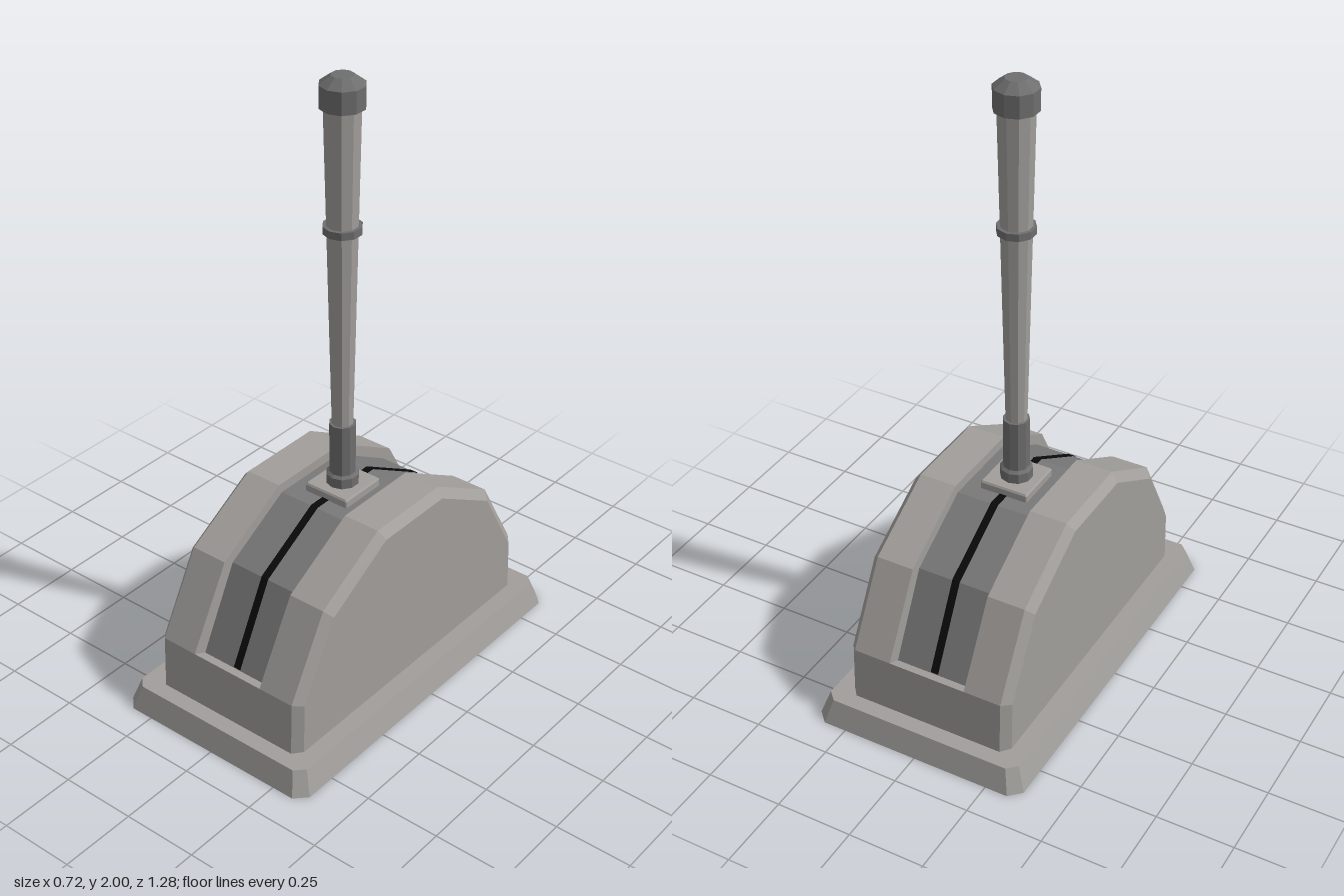
import * as THREE from 'three';

const mat = (name, color, side = THREE.FrontSide) => {
  const m = new THREE.MeshStandardMaterial({ color });
  m.name = name;
  m.side = side;
  return m;
};

// Faceted geometry from a flat list of triangle corners
function faceted(corners) {
  const g = new THREE.BufferGeometry();
  g.setAttribute('position', new THREE.Float32BufferAttribute(corners.flat(), 3));
  g.computeVertexNormals();
  return g;
}

// Joins matching loops into a solid; the first end can be left open
function loft(sections, openStart = false) {
  const out = [];
  const n = sections[0].length;
  for (let i = 0; i < sections.length - 1; i++) {
    for (let j = 0; j < n; j++) {
      const k = (j + 1) % n;
      const [a, b, c, d] = [sections[i][j], sections[i + 1][j], sections[i + 1][k], sections[i][k]];
      out.push(a, b, c, a, c, d);
    }
  }
  const first = sections[0], last = sections[sections.length - 1];
  for (let j = 1; j < n - 1; j++) {
    if (!openStart) out.push(first[0], first[j], first[j + 1]);
    out.push(last[0], last[j + 1], last[j]);
  }
  return faceted(out);
}

// Strip of half width w following a [z, y] path
function ribbon(path, w, lift = 0) {
  const out = [];
  for (let i = 0; i < path.length - 1; i++) {
    const [z0, y0] = path[i], [z1, y1] = path[i + 1];
    const a = [-w, y0 + lift, z0], b = [w, y0 + lift, z0];
    const c = [w, y1 + lift, z1], d = [-w, y1 + lift, z1];
    out.push(a, b, c, a, c, d);
  }
  return faceted(out);
}

// Front half of a [z, y] profile, mirrored to the back
const mirrored = (half) => [...half, ...half.map(([z, y]) => [-z, y]).reverse()];
const atX = (profile, x) => profile.map(([z, y]) => [x, y, z]);

// Rectangle with cut corners at height y
const cutRect = (w, d, c, y) => [
  [w, -d + c], [w, d - c], [w - c, d], [-w + c, d],
  [-w, d - c], [-w, -d + c], [-w + c, -d], [w - c, -d],
].map(([x, z]) => [x, y, z]);

// Ten-sided turned part from [radius, y] points
function turned(points) {
  const g = new THREE.LatheGeometry(points.map((p) => new THREE.Vector2(...p)), 10).toNonIndexed();
  g.computeVertexNormals();
  return g;
}

export function createModel() {
  const group = new THREE.Group();
  const body = mat('warm grey', 0xa19e9b);
  const bodyThin = mat('warm grey panel', 0xa19e9b, THREE.DoubleSide);
  const floor = mat('mid grey', 0x797979, THREE.DoubleSide);
  const black = mat('slot black', 0x0a0a0a, THREE.DoubleSide);
  const dark = mat('dark grey', 0x6e6e6e);

  const add = (name, geometry, material) => {
    const mesh = new THREE.Mesh(geometry, material);
    mesh.name = name;
    group.add(mesh);
  };

  // Base plinth, hollow underneath
  add('base', loft([cutRect(0.362, 0.642, 0.037, 0), cutRect(0.335, 0.615, 0.03, 0.08)], true), bodyThin);

  // Two stepped cheeks with bevelled outer edges
  const outer = mirrored([[0.562, 0.08], [0.556, 0.26], [0.408, 0.52], [0.15, 0.666]]);
  const inset = mirrored([[0.532, 0.08], [0.526, 0.252], [0.388, 0.497], [0.14, 0.638]]);
  add('rightCheek', loft([atX(inset, -0.28), atX(outer, -0.255), atX(outer, -0.13)]), body);
  add('leftCheek', loft([atX(outer, 0.13), atX(outer, 0.255), atX(inset, 0.28)]), body);

  // End walls with a sloped lip, closing the channel
  const lip = [[0.562, 0.08], [0.556, 0.26], [0.51, 0.238]];
  add('frontWall', ribbon(lip, 0.13), bodyThin);
  add('backWall', ribbon(lip.map(([z, y]) => [-z, y]).reverse(), 0.13), bodyThin);

  // Channel floor and the slot along it
  const channel = mirrored([[0.51, 0.238], [0.372, 0.5], [0.137, 0.634]]);
  add('channelFloor', ribbon(channel, 0.13), floor);
  add('slot', ribbon(channel, 0.013, 0.003), black);

  // Lever foot plate
  add('footPlate', loft([
    cutRect(0.081, 0.083, 0.003, 0.632),
    cutRect(0.081, 0.083, 0.003, 0.656),
    cutRect(0.077, 0.079, 0.003, 0.662),
  ]), body);

  // Lever
  add('collar', turned([[0, 0.66], [0.052, 0.66], [0.052, 0.695], [0.042, 0.703], [0.042, 0.875], [0, 0.875]]), dark);
  add('shaft', turned([[0.034, 0.87], [0.057, 1.91]]), body);
  add('ring', turned([[0.045, 1.518], [0.06, 1.518], [0.06, 1.542], [0.045, 1.542]]), dark);
  add('knob', turned([[0, 1.905], [0.069, 1.905], [0.069, 1.974], [0.034, 2], [0, 2]]), dark);

  return group;
}
